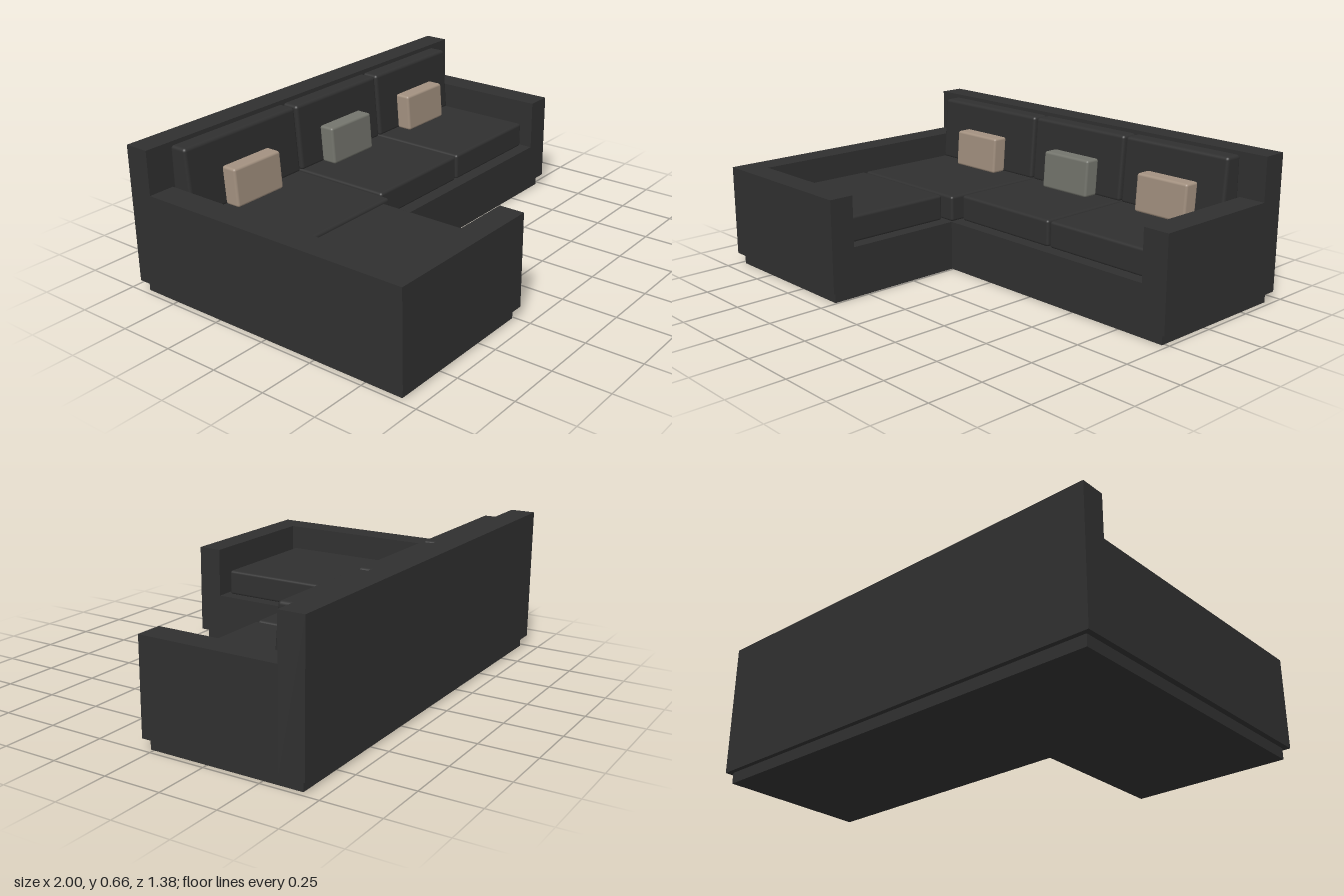
import * as THREE from 'three';
import { RoundedBoxGeometry } from 'three/addons/geometries/RoundedBoxGeometry.js';

const mat = (name, color) => {
  const m = new THREE.MeshStandardMaterial({ color });
  m.name = name;
  return m;
};

export function createModel() {
  const sofa = new THREE.Group();
  sofa.name = 'cornerSofa';
  const charcoal = mat('charcoalFabric', 0x303030);
  const beige = mat('beigeFabric', 0xa39180);
  const grey = mat('greyFabric', 0x74756d);

  const add = (name, geometry, material) => {
    const mesh = new THREE.Mesh(geometry, material);
    mesh.name = name;
    sofa.add(mesh);
    return mesh;
  };

  // Sharp-edged box given by its limits on each axis
  const panel = (name, [x0, x1], [y0, y1], [z0, z1]) =>
    add(name, new THREE.BoxGeometry(x1 - x0, y1 - y0, z1 - z0), charcoal)
      .position.set((x0 + x1) / 2, (y0 + y1) / 2, (z0 + z1) / 2);

  // Soft box; lean pulls its top backwards, on the front half only or on all of it
  const cushion = (name, [x0, x1], [y0, y1], [z0, z1], material, radius, lean = 0, frontOnly = false) => {
    const h = y1 - y0;
    const g = new RoundedBoxGeometry(x1 - x0, h, z1 - z0, 3, radius);
    const p = g.attributes.position;
    for (let i = 0; i < p.count; i++) {
      if (!frontOnly || p.getZ(i) > 0) p.setZ(i, p.getZ(i) - lean * (p.getY(i) / h + 0.5));
    }
    add(name, g, material).position.set((x0 + x1) / 2, (y0 + y1) / 2, (z0 + z1) / 2);
  };

  // L-shaped slab: long sofa plus chaise on the -x side
  const slab = (name, y0, y1, x0, x1, xIn, zBack, zIn, zFront) => {
    const s = new THREE.Shape();
    [[x0, zBack], [x1, zBack], [x1, zIn], [xIn, zIn], [xIn, zFront], [x0, zFront]]
      .forEach(([x, z], i) => (i ? s.lineTo(x, -z) : s.moveTo(x, -z)));
    const g = new THREE.ExtrudeGeometry(s, { depth: y1 - y0, bevelEnabled: false });
    g.rotateX(-Math.PI / 2);
    add(name, g, charcoal).position.y = y0;
  };

  // Frame
  slab('plinth', 0, 0.05, -0.975, 0.975, -0.258, -0.67, 0.015, 0.67);
  slab('seatBase', 0.05, 0.235, -0.88, 0.88, -0.235, -0.58, 0.035, 0.58);
  panel('backrest', [-1, 1], [0.05, 0.655], [-0.692, -0.58]);
  panel('rightArm', [-1, -0.88], [0.05, 0.462], [-0.58, 0.692]);
  panel('leftArm', [0.88, 1], [0.05, 0.462], [-0.58, 0.035]);
  panel('chaiseEnd', [-0.88, -0.235], [0.05, 0.462], [0.58, 0.692]);

  // Seat cushions
  const seatY = [0.232, 0.35];
  const columns = [[-0.878, -0.238], [-0.226, 0.317], [0.327, 0.873]];
  columns.forEach((x, i) =>
    cushion('seatCushion' + (i + 1), x, seatY, [-0.578, i ? -0.022 : 0.03], charcoal, 0.012));
  cushion('chaiseCushion', [-0.878, -0.293], seatY, [0.042, 0.562], charcoal, 0.012);

  // Back cushions
  columns.forEach((x, i) =>
    cushion('backCushion' + (i + 1), x, [0.345, 0.642], [-0.579, -0.472], charcoal, 0.014, 0.023, true));

  // Throw pillows
  [[-0.56, beige], [0.045, grey], [0.6, beige]].forEach(([x, material], i) =>
    cushion('throwPillow' + (i + 1), [x - 0.135, x + 0.135], [0.348, 0.517], [-0.475, -0.4], material, 0.011, 0.012));

  return sofa;
}
